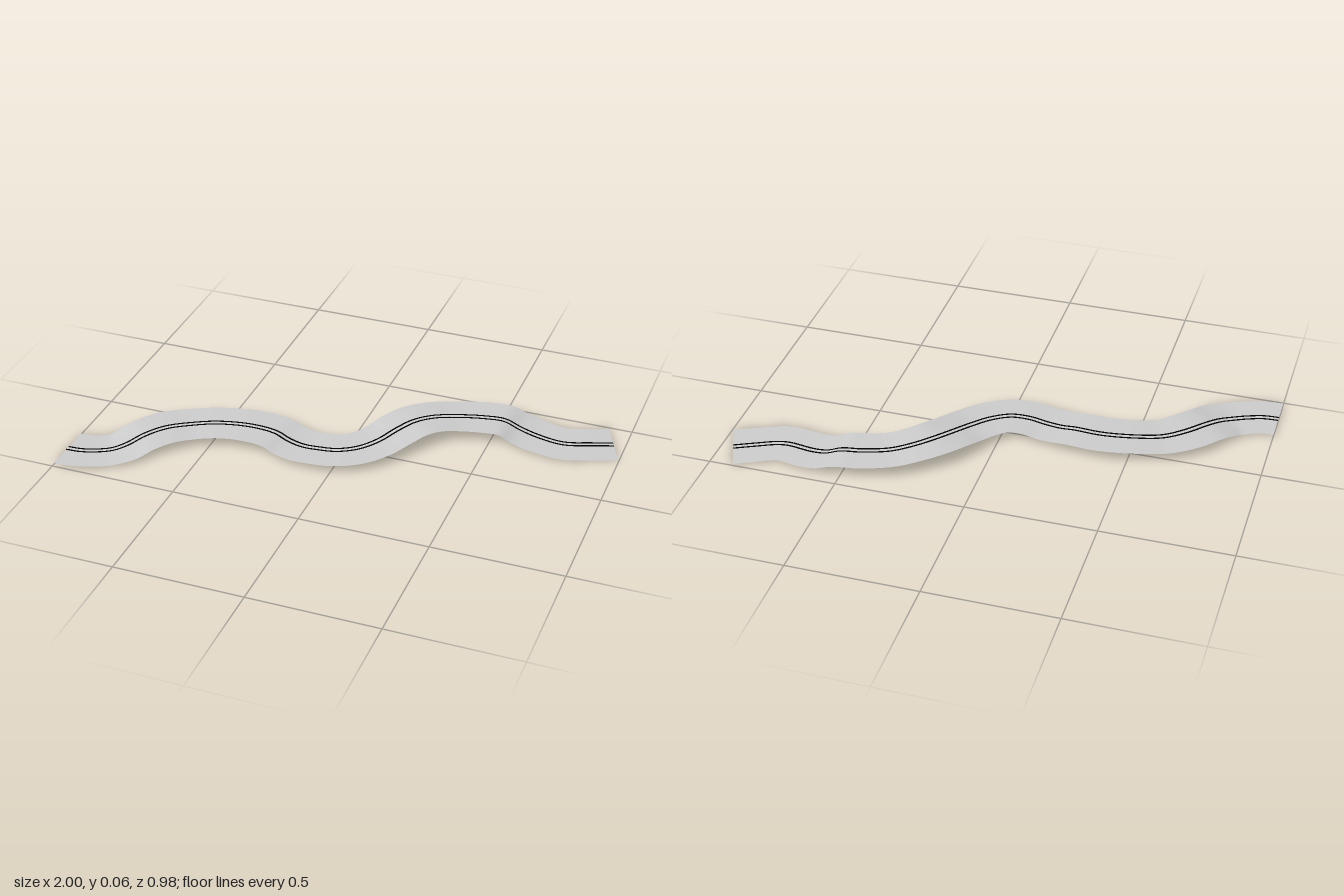
import * as THREE from 'three';

// Cross-sections along the road: left x, left z, right x, right z, height
const SECTIONS = [
  [-1, 0.265, -1, 0.487, 0.01],
  [-0.95, 0.26, -0.94, 0.484, 0.01],
  [-0.905, 0.24, -0.865, 0.465, 0.01],
  [-0.885, 0.225, -0.78, 0.425, 0.012],
  [-0.865, 0.2, -0.71, 0.37, 0.022],
  [-0.825, 0.145, -0.665, 0.305, 0.036],
  [-0.76, 0.065, -0.615, 0.245, 0.041],
  [-0.66, -0.005, -0.555, 0.195, 0.039],
  [-0.54, -0.052, -0.475, 0.163, 0.044],
  [-0.38, -0.08, -0.38, 0.148, 0.046],
  [-0.26, -0.07, -0.29, 0.153, 0.044],
  [-0.195, -0.054, -0.235, 0.167, 0.031],
  [-0.14, -0.042, -0.165, 0.182, 0.027],
  [-0.085, -0.036, -0.085, 0.189, 0.033],
  [-0.035, -0.043, 0.01, 0.178, 0.036],
  [0.005, -0.075, 0.11, 0.125, 0.037],
  [0.04, -0.125, 0.19, 0.04, 0.042],
  [0.075, -0.19, 0.25, -0.055, 0.055],
  [0.13, -0.27, 0.29, -0.115, 0.063],
  [0.205, -0.34, 0.335, -0.162, 0.061],
  [0.3, -0.4, 0.4, -0.2, 0.053],
  [0.43, -0.445, 0.48, -0.222, 0.05],
  [0.525, -0.458, 0.535, -0.23, 0.047],
  [0.6, -0.457, 0.585, -0.23, 0.024],
  [0.67, -0.446, 0.64, -0.222, 0.013],
  [0.755, -0.43, 0.745, -0.206, 0.01],
  [0.785, -0.438, 0.805, -0.208, 0.009],
  [0.835, -0.46, 0.9, -0.243, 0.007],
  [0.91, -0.492, 0.997, -0.283, 0.004],
];

const leftEdge = new THREE.CatmullRomCurve3(SECTIONS.map(([x, z, , , y]) => new THREE.Vector3(x, y, z)));
const rightEdge = new THREE.CatmullRomCurve3(SECTIONS.map(([, , x, z, y]) => new THREE.Vector3(x, y, z)));

// Strip between two fractions of the road width, raised by lift
function strip(from, to, across, lift) {
  const along = (SECTIONS.length - 1) * 6;
  const positions = [];
  const index = [];
  for (let i = 0; i <= along; i++) {
    const a = leftEdge.getPoint(i / along);
    const b = rightEdge.getPoint(i / along);
    for (let j = 0; j <= across; j++) {
      const p = a.clone().lerp(b, from + ((to - from) * j) / across);
      positions.push(p.x, p.y + lift, p.z);
      if (i < along && j < across) {
        const k = i * (across + 1) + j;
        const n = k + across + 1;
        index.push(k, k + 1, n, k + 1, n + 1, n);
      }
    }
  }
  const geometry = new THREE.BufferGeometry();
  geometry.setAttribute('position', new THREE.Float32BufferAttribute(positions, 3));
  geometry.setIndex(index);
  geometry.computeVertexNormals();
  return geometry;
}

export function createModel() {
  const asphalt = new THREE.MeshStandardMaterial({ color: 0xcccccc, side: THREE.DoubleSide });
  asphalt.name = 'light grey';
  const paint = new THREE.MeshStandardMaterial({ color: 0x000000, side: THREE.DoubleSide });
  paint.name = 'black';

  const group = new THREE.Group();
  group.name = 'windingRoad';

  // Road surface
  const road = new THREE.Mesh(strip(0, 1, 8, 0), asphalt);
  road.name = 'roadSurface';
  group.add(road);

  // Pair of centre lines
  for (const side of [-1, 1]) {
    const middle = 0.5 + side * 0.046;
    const line = new THREE.Mesh(strip(middle - 0.018, middle + 0.018, 1, 0.0008), paint);
    line.name = side < 0 ? 'leftCentreLine' : 'rightCentreLine';
    group.add(line);
  }
  return group;
}
